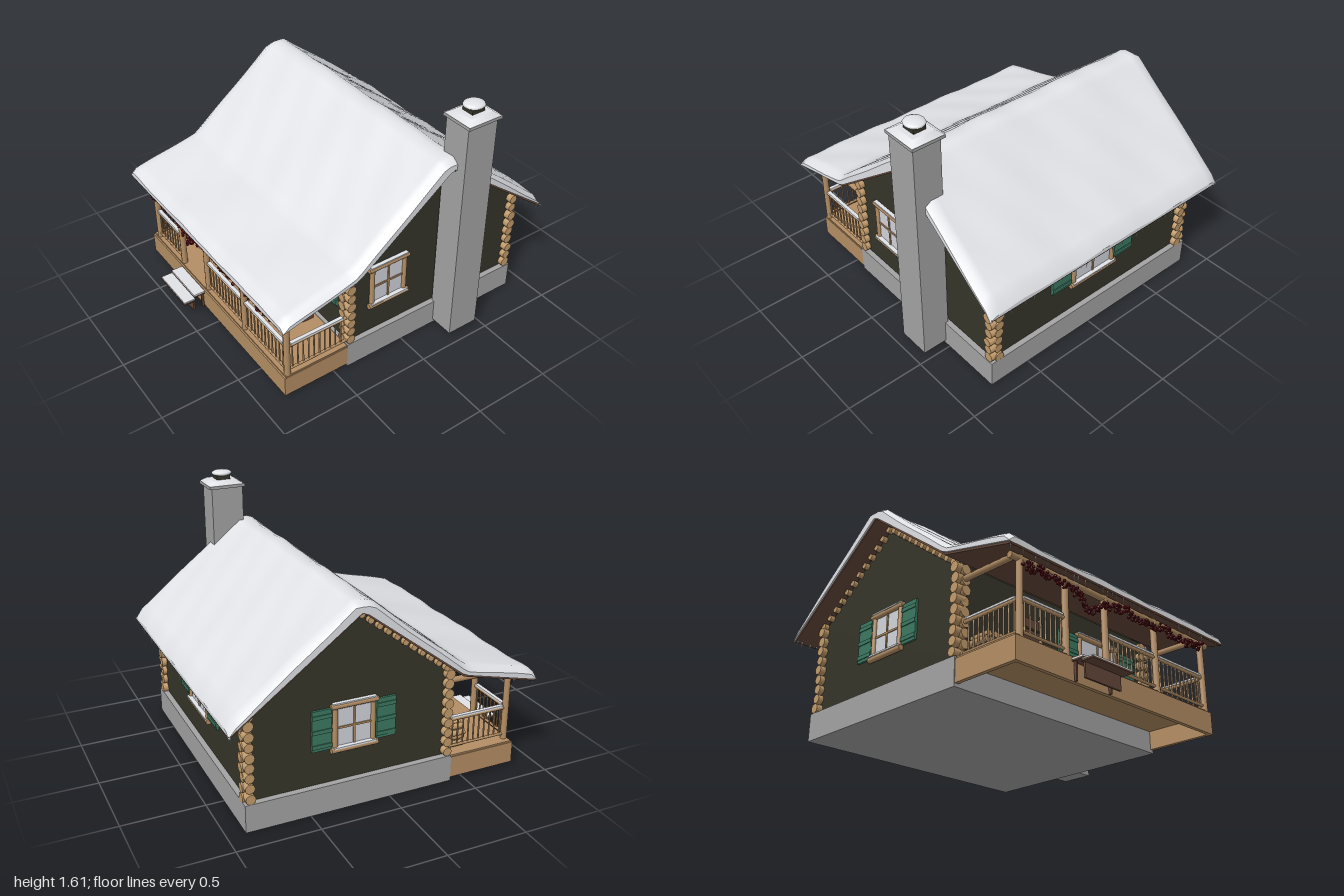
import * as THREE from 'three';

const mat = (name, color) => Object.assign(new THREE.MeshStandardMaterial({ color }), { name });
const M = {
  snow: mat('snow', 0xe6e8ec), stone: mat('stone grey', 0xa4a4a4), wall: mat('dark wall', 0x36352a),
  timber: mat('timber', 0xb48e64), log: mat('cut log', 0xc39c6c), brown: mat('dark wood', 0x65483a),
  red: mat('garland red', 0x6a1018), green: mat('shutter green', 0x3c7a62), glass: mat('window glass', 0xd2d5dc),
};
let seed = 7;
const rnd = () => (seed = (seed * 16807) % 2147483647) / 2147483647;

function add(parent, name, geo, material, x = 0, y = 0, z = 0) {
  const m = new THREE.Mesh(geo, material);
  m.name = name;
  m.position.set(x, y, z);
  parent.add(m);
  return m;
}
// box given by its min and max on each axis
const box = (p, name, material, x0, x1, y0, y1, z0, z1) =>
  add(p, name, new THREE.BoxGeometry(x1 - x0, y1 - y0, z1 - z0), material, (x0 + x1) / 2, (y0 + y1) / 2, (z0 + z1) / 2);
// round pole between two points
function pole(p, name, material, a, b, r, sides = 10) {
  const A = new THREE.Vector3(...a), B = new THREE.Vector3(...b), d = B.clone().sub(A);
  const m = add(p, name, new THREE.CylinderGeometry(r, r, d.length(), sides), material);
  m.position.copy(A).add(B).multiplyScalar(0.5);
  m.quaternion.setFromUnitVectors(new THREE.Vector3(0, 1, 0), d.normalize());
  return m;
}
// prism along x from a [z, y] outline
function prismX(p, name, material, pts, x0, x1) {
  const geo = new THREE.ExtrudeGeometry(new THREE.Shape(pts.map(q => new THREE.Vector2(...q))), { depth: x1 - x0, bevelEnabled: false });
  return add(p, name, geo.rotateY(-Math.PI / 2), material, x1);
}
function group(p, name) {
  const g = new THREE.Group();
  g.name = name;
  p.add(g);
  return g;
}
// height on a polyline of [z, y] with falling z
function heightAt(line, z) {
  for (let i = 1; i < line.length; i++) {
    const [a, b] = [line[i - 1], line[i]];
    if (z >= b[0]) return THREE.MathUtils.mapLinear(z, a[0], b[0], a[1], b[1]);
  }
  return line[line.length - 1][1];
}
const UNDER = [[0.91, 0.61], [0.41, 0.735], [-0.235, 1.225], [-1, 0.66]];
const TOP = [[0.91, 0.64], [0.87, 0.676], [0.42, 0.79], [-0.18, 1.275], [-0.28, 1.28], [-0.965, 0.735], [-1, 0.68]];

// window facing +z with log frame, snowy sill and optional shutters
function makeWindow(parent, name, x, y, z, turn, w, h, shutter) {
  const g = group(parent, name);
  g.position.set(x, y, z);
  g.rotation.y = turn;
  const W = w / 2, H = h / 2;
  box(g, 'pane', M.glass, -W, W, -H, H, 0, 0.008);
  box(g, 'mullion', M.timber, -0.006, 0.006, -H, H, 0, 0.014);
  box(g, 'crossbar', M.timber, -W, W, -0.006, 0.006, 0, 0.014);
  for (const s of [-1, 1]) {
    pole(g, 'frameSide', M.timber, [s * (W + 0.013), -H, 0.008], [s * (W + 0.013), H, 0.008], 0.016);
    if (!shutter) continue;
    const c = s * (W + 0.035 + shutter / 2);
    box(g, 'shutter', M.green, c - shutter / 2, c + shutter / 2, -H, H + 0.01, 0, 0.014);
    for (const yy of [-0.75, 0, 0.75])
      box(g, 'shutterRail', M.green, c - shutter / 2, c + shutter / 2, yy * H - 0.012, yy * H + 0.012, 0.01, 0.02);
  }
  pole(g, 'lintel', M.timber, [-W - 0.04, H + 0.014, 0.01], [W + 0.04, H + 0.014, 0.01], 0.017);
  pole(g, 'sill', M.timber, [-W - 0.04, -H - 0.014, 0.014], [W + 0.04, -H - 0.014, 0.014], 0.018);
  box(g, 'sillSnow', M.snow, -W - 0.025, W + 0.025, -H - 0.002, -H + 0.008, 0, 0.035);
  box(g, 'lintelSnow', M.snow, -W - 0.03, W + 0.03, H + 0.028, H + 0.036, 0, 0.024);
}

// railing from a to b with balusters and a snow strip
function railing(parent, a, b) {
  const g = group(parent, 'railing');
  const len = Math.hypot(b[0] - a[0], b[1] - a[1]), n = Math.round(len / 0.037);
  pole(g, 'topRail', M.timber, [a[0], 0.375, a[1]], [b[0], 0.375, b[1]], 0.011);
  pole(g, 'bottomRail', M.timber, [a[0], 0.198, a[1]], [b[0], 0.198, b[1]], 0.009);
  for (let i = 1; i < n; i++) {
    const x = a[0] + (b[0] - a[0]) * i / n, z = a[1] + (b[1] - a[1]) * i / n;
    pole(g, 'baluster', M.timber, [x, 0.198, z], [x, 0.375, z], 0.0055, 6);
  }
  const s = add(g, 'railSnow', new THREE.BoxGeometry(len - 0.05, 0.012, 0.024), M.snow, (a[0] + b[0]) / 2, 0.389, (a[1] + b[1]) / 2);
  s.rotation.y = -Math.atan2(b[1] - a[1], b[0] - a[0]);
}

function buildHouse(root) {
  const g = group(root, 'house');
  box(g, 'foundation', M.stone, -0.86, 0.78, 0, 0.17, -0.89, 0.41);
  prismX(g, 'walls', M.wall, [[0.385, 0.17], [0.385, 0.735], [-0.235, 1.215], [-0.855, 0.735], [-0.855, 0.17]], -0.82, 0.745);
  // crossed log ends stacked at each corner
  for (const [x, sx] of [[-0.795, -1], [0.72, 1]])
    for (const [z, sz] of [[0.382, 1], [-0.855, -1]])
      for (let i = 0; i < 9; i++) {
        const y = 0.2 + i * 0.0625, r = 0.028 + 0.004 * rnd();
        pole(g, 'cornerLog', M.log, [x, y, z], [x + sx * (0.055 + 0.012 * rnd()), y, z], r);
        pole(g, 'cornerLog', M.log, [x, y - 0.01, z], [x, y - 0.01, z + sz * (0.025 + 0.012 * rnd())], r);
      }
  // log ends along the left gable edge
  for (let z = 0.36; z > -0.86; z -= 0.055)
    pole(g, 'gableLogEnd', M.log, [-0.8, heightAt(UNDER, z) - 0.03, z], [-0.85, heightAt(UNDER, z) - 0.03, z], 0.02, 8);
  // door
  box(g, 'door', M.brown, -0.38, -0.21, 0.17, 0.57, 0.38, 0.395);
  for (const s of [-1, 1]) pole(g, 'doorFrame', M.timber, [-0.295 + s * 0.095, 0.17, 0.39], [-0.295 + s * 0.095, 0.585, 0.39], 0.014);
  for (const y of [0.25, 0.5]) box(g, 'doorStrap', M.wall, -0.375, -0.215, y, y + 0.012, 0.39, 0.4);
  box(g, 'doorHandle', M.wall, -0.235, -0.225, 0.34, 0.4, 0.39, 0.41);
  makeWindow(g, 'frontWindow', 0.3, 0.475, 0.385, 0, 0.3, 0.21, 0.16);
  makeWindow(g, 'rightWindow', 0.745, 0.505, 0.1, Math.PI / 2, 0.21, 0.24, 0);
  makeWindow(g, 'leftWindow', -0.82, 0.505, -0.22, -Math.PI / 2, 0.21, 0.24, 0.12);
  makeWindow(g, 'backWindow', -0.03, 0.505, -0.855, Math.PI, 0.29, 0.24, 0.15);
}

function buildRoof(root) {
  const g = group(root, 'roof');
  // boards under the snow
  prismX(g, 'roofBoards', M.brown, [...UNDER, ...UNDER.map(([z, y]) => [z * 0.995, y - 0.012]).reverse()], -0.95, 0.87).material.side = THREE.DoubleSide;
  // snow blanket: a box bent over the roof line, softened at its ends
  const geo = new THREE.BoxGeometry(1.84, 1, 1.91, 46, 1, 48), p = geo.attributes.position;
  for (let i = 0; i < p.count; i++) {
    const x = p.getX(i) - 0.04, z = p.getZ(i) - 0.045;
    let y = heightAt(UNDER, z);
    if (p.getY(i) > 0) {
      const end = Math.min(x + 0.96, 0.88 - x);
      y = heightAt(TOP, z) - Math.max(0, 0.03 - end)
        + 0.004 * Math.sin(x * 9 + z * 4) + 0.003 * Math.sin(x * 21 - z * 13);
    }
    p.setXYZ(i, x, y, z);
  }
  geo.computeVertexNormals();
  add(g, 'roofSnow', geo, M.snow);
  // icicles on both eaves
  for (const [z, y] of [[0.9, 0.618], [-0.985, 0.675]])
    for (let x = -0.94; x < 0.86; x += 0.03 + 0.03 * rnd()) {
      const h = 0.025 + 0.06 * rnd() * rnd() + (z < 0 ? 0.025 : 0);
      add(g, 'icicle', new THREE.ConeGeometry(0.006, h, 5).rotateX(Math.PI), M.snow, x, y - h / 2, z);
    }
}

function buildPorch(root) {
  const g = group(root, 'porch');
  box(g, 'deck', M.timber, -0.85, 0.775, 0.135, 0.165, 0.4, 0.84);
  box(g, 'frontSkirt', M.timber, -0.855, 0.78, 0.02, 0.155, 0.825, 0.85);
  for (const [a, b] of [[-0.855, -0.83], [0.755, 0.78]]) box(g, 'sideSkirt', M.timber, a, b, 0.02, 0.155, 0.41, 0.83);
  const posts = [-0.8, -0.46, -0.14, 0.3, 0.76], zf = 0.82;
  for (const x of posts) pole(g, 'post', M.timber, [x, 0.16, zf], [x, 0.62, zf], 0.02);
  pole(g, 'frontBeam', M.timber, [-0.87, 0.6, zf], [0.82, 0.6, zf], 0.02);
  for (const x of [posts[0], posts[4]]) {
    pole(g, 'sideBeam', M.timber, [x, 0.635, 0.39], [x, 0.63, 0.84], 0.019);
    railing(g, [x, 0.41], [x, zf]);
  }
  for (const i of [0, 2, 3]) railing(g, [posts[i], zf], [posts[i + 1], zf]);
  // entry steps
  box(g, 'upperTread', M.brown, -0.45, -0.15, 0.128, 0.138, 0.85, 0.925);
  box(g, 'lowerTread', M.brown, -0.46, -0.14, 0.105, 0.115, 0.92, 1);
  box(g, 'upperTreadSnow', M.snow, -0.45, -0.15, 0.138, 0.147, 0.85, 0.925);
  box(g, 'lowerTreadSnow', M.snow, -0.455, -0.145, 0.115, 0.124, 0.922, 0.998);
  box(g, 'stepRiser', M.brown, -0.44, -0.16, 0.02, 0.11, 0.92, 0.932);
  for (const x of [-0.44, -0.17]) box(g, 'stepLeg', M.brown, x, x + 0.012, 0.02, 0.13, 0.855, 0.87);
  // bench
  const b = group(g, 'bench');
  box(b, 'benchSeat', M.brown, 0.11, 0.48, 0.262, 0.278, 0.43, 0.52);
  box(b, 'benchBack', M.timber, 0.11, 0.48, 0.3, 0.36, 0.42, 0.435);
  for (const x of [0.13, 0.44]) {
    box(b, 'benchLeg', M.brown, x, x + 0.022, 0.165, 0.265, 0.435, 0.51);
    box(b, 'benchBackPost', M.brown, x, x + 0.022, 0.27, 0.36, 0.425, 0.44);
  }
  // stacked firewood
  for (let r = 0; r < 4; r++)
    for (let i = 0; i < 6 - r % 2; i++) {
      const x = -0.765 + 0.038 * (i + (r % 2) / 2), y = 0.184 + r * 0.035;
      pole(g, 'firewood', M.log, [x, y, 0.42], [x, y, 0.54 + 0.02 * rnd()], 0.0185, 8);
    }
  // swagged garland, deeper in front of the door
  const blob = new THREE.IcosahedronGeometry(0.013, 0);
  for (let k = 0; k < 260; k++) {
    const x = -0.8 + 1.52 * k / 260, door = Math.max(0, 1 - Math.abs(x + 0.3) / 0.13);
    const y = 0.562 - 0.022 * Math.abs(Math.sin(x * 9)) - 0.1 * door;
    const m = add(g, 'garland', blob, M.red, x, y + (rnd() - 0.5) * 0.04, 0.86 + (rnd() - 0.5) * 0.035);
    m.scale.setScalar(0.6 + 0.5 * rnd());
    m.rotation.set(rnd() * 3, rnd() * 3, 0);
  }
}

function buildChimney(root) {
  const g = group(root, 'chimney'), x = 0.85, z = -0.365;
  box(g, 'stack', M.stone, 0.76, 0.94, 0.025, 1.51, -0.465, -0.255);
  box(g, 'cap', M.stone, 0.742, 0.956, 1.505, 1.525, -0.485, -0.245);
  // four-sided snow slope on the cap
  const slope = new THREE.CylinderGeometry(0.1, 0.15, 0.025, 4).rotateY(Math.PI / 4).scale(1, 1, 1.12);
  add(g, 'capSnow', slope, M.snow, x, 1.536, z);
  box(g, 'flue', M.wall, 0.81, 0.89, 1.54, 1.585, -0.41, -0.32);
  add(g, 'flueSnow', new THREE.SphereGeometry(0.062, 16, 8), M.snow, x, 1.587, z).scale.set(1, 0.33, 1.08);
}

export function createModel() {
  const root = new THREE.Group();
  root.name = 'snowyCabin';
  seed = 7;
  for (const build of [buildHouse, buildRoof, buildPorch, buildChimney]) build(root);
  return root;
}
